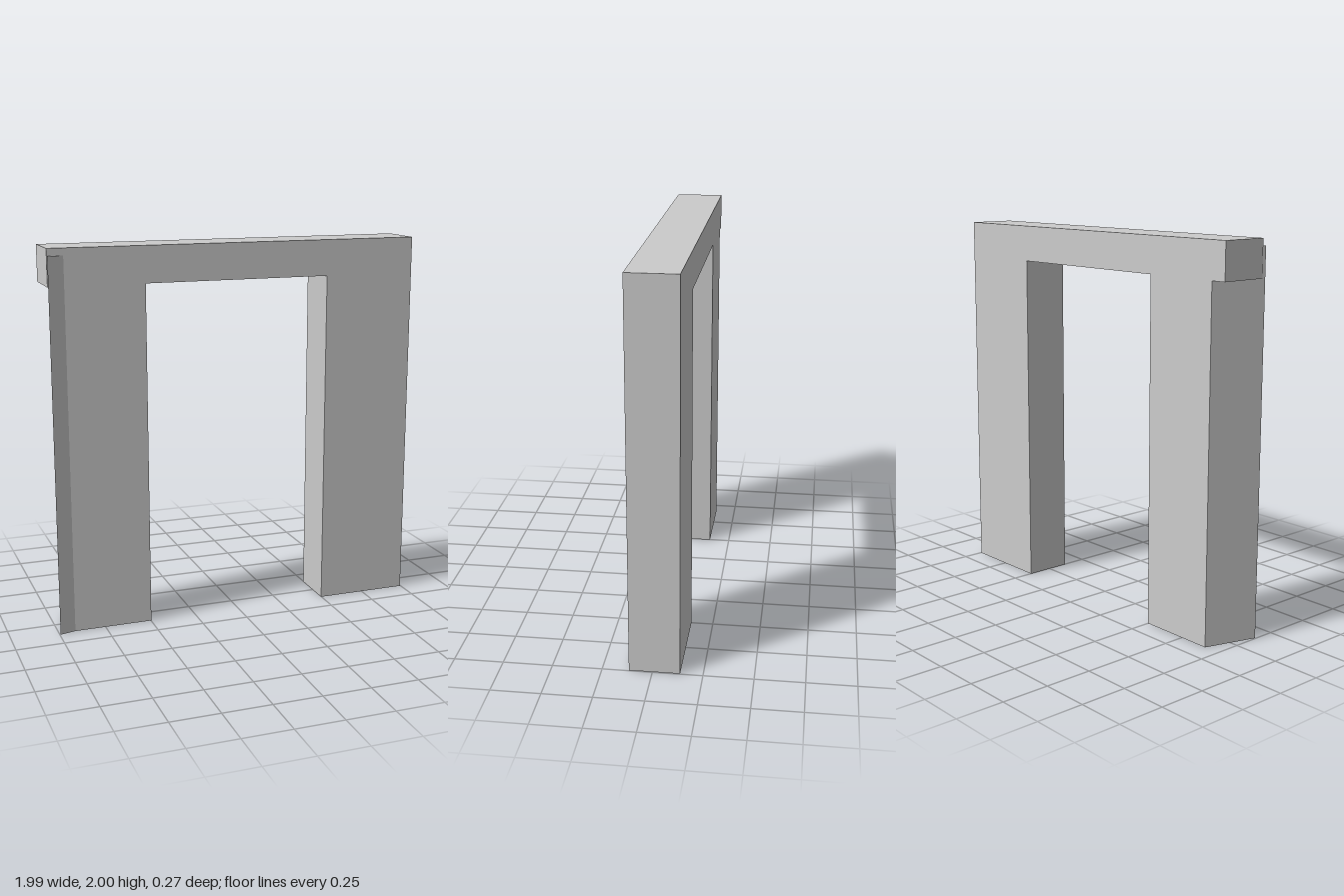
import * as THREE from 'three';

const material = new THREE.MeshStandardMaterial({ color: 0xcccccc, flatShading: true });

// Extrudes a closed outline of [x, y] points along +z
function prism(points, depth) {
  const shape = new THREE.Shape(points.map(([x, y]) => new THREE.Vector2(x, y)));
  return new THREE.ExtrudeGeometry(shape, { depth, bevelEnabled: false });
}

function addPart(group, name, geometry) {
  const mesh = new THREE.Mesh(geometry, material);
  mesh.name = name;
  group.add(mesh);
}

export function createModel() {
  const group = new THREE.Group();
  group.name = 'doorway';

  const side = 0.996, inner = 0.498, notch = 0.913;
  const lintelBottom = 1.81, height = 2;
  const back = -0.137, front = 0.117, tip = 0.137;

  // Wall with door opening; one pier is set in below the lintel
  const frame = prism([
    [-notch, 0], [-inner, 0], [-inner, lintelBottom], [inner, lintelBottom],
    [inner, 0], [side, 0], [side, height], [-side, height],
    [-side, lintelBottom], [-notch, lintelBottom],
  ], front - back);
  frame.translate(0, 0, back);
  addPart(group, 'doorFrame', frame);

  // Slanted edge of that pier, a triangular column whose tip stands proud of the front
  const edge = prism([[-notch, -front], [-side, -tip], [-notch, -back]], 1.963);
  edge.rotateX(-Math.PI / 2);
  addPart(group, 'slantedPierEdge', edge);

  return group;
}
